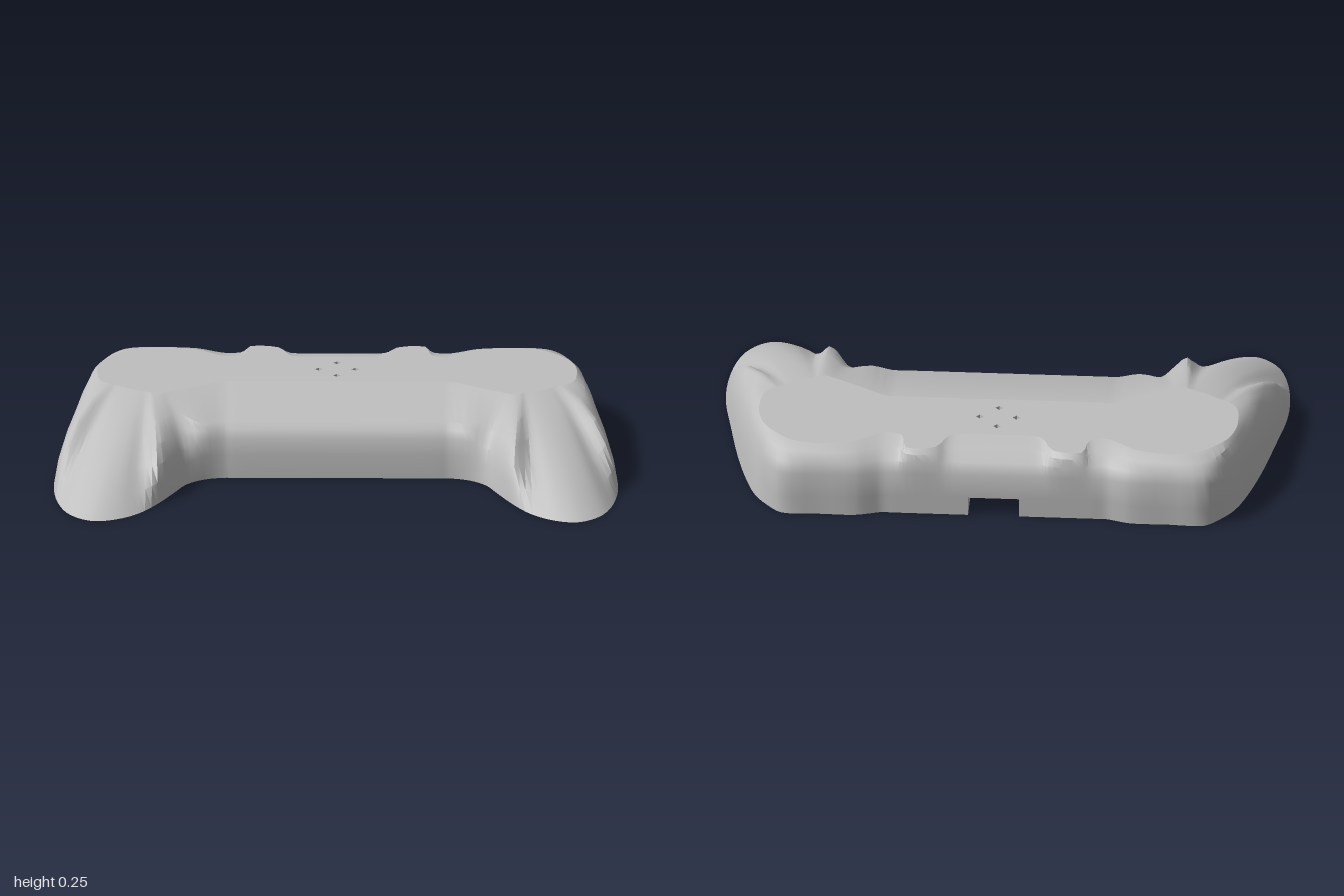
import * as THREE from 'three';
import { toCreasedNormals } from 'three/addons/utils/BufferGeometryUtils.js';

const H = 0.245;   // shell height
const SUB = 3;     // samples between outline stations

// Wall profiles from base (0,0) to deck edge (1,1): [inward fraction, height fraction]
const PROFILE = {
  back: [[0, 0], [0, 0.286], [0, 0.66], [0.15, 0.82], [0.48, 0.94], [1, 1]],
  side: [[0, 0], [0.08, 0.3], [0.22, 0.57], [0.43, 0.79], [0.7, 0.94], [1, 1]],
  tip: [0, 0.15, 0.33, 0.55, 0.78, 1].map((s) => [s, 1 - (1 - s) ** 1.45]),
  inner: [[0, 0], [0.05, 0.28], [0.13, 0.5], [0.29, 0.71], [0.56, 0.88], [1, 1]],
  front: [[0, 0], [0.01, 0.35], [0.04, 0.58], [0.09, 0.7], [0.17, 0.79], [1, 1]],
};

// Half outline stations, back centre to front centre: [base x, base z, deck x, deck z]
const STATIONS = [
  ['back', [0, -0.58, 0, -0.43], [0.09, -0.58, 0.09, -0.43], [0.17, -0.58, 0.16, -0.44],
    [0.21, -0.58, 0.21, -0.53], [0.31, -0.58, 0.31, -0.54], [0.35, -0.58, 0.335, -0.45],
    [0.4, -0.58, 0.39, -0.435], [0.44, -0.592, 0.43, -0.455], [0.49, -0.605, 0.5, -0.505],
    [0.62, -0.605, 0.62, -0.53], [0.75, -0.605, 0.72, -0.51], [0.8, -0.56, 0.77, -0.47]],
  ['side', [0.85, -0.49, 0.82, -0.41], [0.89, -0.38, 0.845, -0.34], [0.93, -0.22, 0.85, -0.26],
    [0.97, 0, 0.84, -0.19], [0.995, 0.15, 0.82, -0.16], [1, 0.27, 0.8, -0.145]],
  ['tip', [0.985, 0.41, 0.78, -0.13], [0.95, 0.52, 0.755, -0.115], [0.9, 0.58, 0.735, -0.1],
    [0.85, 0.602, 0.71, -0.085], [0.78, 0.585, 0.69, -0.075], [0.7, 0.525, 0.67, -0.065]],
  ['inner', [0.63, 0.42, 0.65, -0.055], [0.57, 0.3, 0.625, -0.05], [0.53, 0.22, 0.6, -0.062]],
  ['front', [0.47, 0.17, 0.5, -0.12], [0.4, 0.15, 0.4, -0.18], [0.36, 0.15, 0.36, -0.18],
    [0, 0.15, 0, -0.18]],
].flatMap(([type, ...rows]) => rows.map((row) => ({ type, row })));

// Full closed ring of points at one profile level
function ringAt(level) {
  const keys = STATIONS.map(({ type, row: [x, z, px, pz] }) => {
    const [s, h] = PROFILE[type][level];
    return new THREE.Vector3(x + (px - x) * s, h * H, z + (pz - z) * s);
  });
  const half = new THREE.CatmullRomCurve3(keys).getPoints((keys.length - 1) * SUB);
  const mirrored = half.slice(1, -1).reverse().map((p) => new THREE.Vector3(-p.x, p.y, p.z));
  return [...half, ...mirrored];
}

// Skin between stacked rings; skip(level, i) leaves an opening
function loft(rings, closed = true, skip = () => false) {
  const n = rings[0].length;
  const index = [];
  for (let l = 0; l < rings.length - 1; l++) {
    for (let i = 0; i < (closed ? n : n - 1); i++) {
      if (skip(l, i)) continue;
      const j = (i + 1) % n;
      const a = l * n + i, b = l * n + j, c = b + n, d = a + n;
      index.push(a, d, c, a, c, b);
    }
  }
  const geometry = new THREE.BufferGeometry().setFromPoints(rings.flat());
  geometry.setIndex(index);
  return toCreasedNormals(geometry, 0.6);
}

// Horizontal face from [x, z] points, facing up or down
function flat(points, holes, y, up) {
  const sign = up ? -1 : 1;
  const to2D = (list) => list.map(([x, z]) => new THREE.Vector2(x, sign * z));
  const shape = new THREE.Shape(to2D(points));
  shape.holes = holes.map((hole) => new THREE.Path(to2D(hole)));
  return new THREE.ShapeGeometry(shape).rotateX((sign * Math.PI) / 2).translate(0, y, 0);
}

const rect = (x, z, w, d) => [[x - w, z - d], [x - w, z + d], [x + w, z + d], [x + w, z - d]];
const diamond = (x, z, r) => [[x, z - r], [x - r, z], [x, z + r], [x + r, z]];
const lift = (points, y) => points.map(([x, z]) => new THREE.Vector3(x, y, z));
const plan = (ring) => ring.map((p) => [p.x, p.z]);

export function createModel() {
  const model = new THREE.Group();
  model.name = 'controllerShell';
  const grey = new THREE.MeshStandardMaterial({ color: 0xbfbfbf });
  grey.name = 'shell grey';
  const add = (name, geometry) => {
    const mesh = new THREE.Mesh(geometry, grey);
    mesh.name = name;
    model.add(mesh);
  };

  const rings = [0, 1, 2, 3, 4, 5].map(ringAt);
  const n = rings[0].length;
  const notchTop = 0.286 * H, notchWidth = 0.09, pocketTop = 0.05;
  const lights = [[0, -0.37], [0, -0.24], [0.065, -0.305], [-0.065, -0.305]];
  const lightHoles = lights.map(([x, z]) => diamond(x, z, 0.014));

  // Curved walls and grips, open at the rear cable notch
  add('shellWalls', loft(rings, true, (l, i) => l === 0 && (i < SUB || i >= n - SUB)));

  // Flat top deck with four small light holes
  add('topDeck', flat(plan(rings[5]), lightHoles, H, true));

  // Cable notch: three walls and a ceiling
  const notch = [[-notchWidth, -0.58], [-notchWidth, -0.43], [notchWidth, -0.43], [notchWidth, -0.58]];
  add('cableNotchWalls', loft([lift(notch, 0), lift(notch, notchTop)], false));
  add('cableNotchCeiling', flat(notch, [], notchTop, false));

  // Pockets below the light holes
  const pockets = lights.map(([x, z]) => rect(x, z, 0.024, 0.024));
  pockets.forEach((pocket, i) => {
    add('lightPocketWalls', loft([lift(pocket, 0), lift(pocket, pocketTop)]));
    add('lightPocketCeiling', flat(pocket, [lightHoles[i]], pocketTop, false));
    add('lightShaft', loft([lift(lightHoles[i], pocketTop), lift(lightHoles[i], H)]));
  });

  // Paired pockets under each grip
  for (const side of [-1, 1]) {
    for (const [x, z] of [[0.63, 0], [0.76, 0.03]]) {
      const pocket = rect(side * x, z, 0.053, 0.05);
      pockets.push(pocket);
      add('gripPocketWalls', loft([lift(pocket, 0), lift(pocket, pocketTop)]));
      add('gripPocketCeiling', flat(pocket, [], pocketTop, false));
    }
  }

  // Flat underside, cut by the notch and the pockets
  const outline = [...plan(rings[0]).slice(SUB, n - SUB + 1), notch[1], notch[2]];
  add('underside', flat(outline, pockets, 0, false));

  return model;
}
